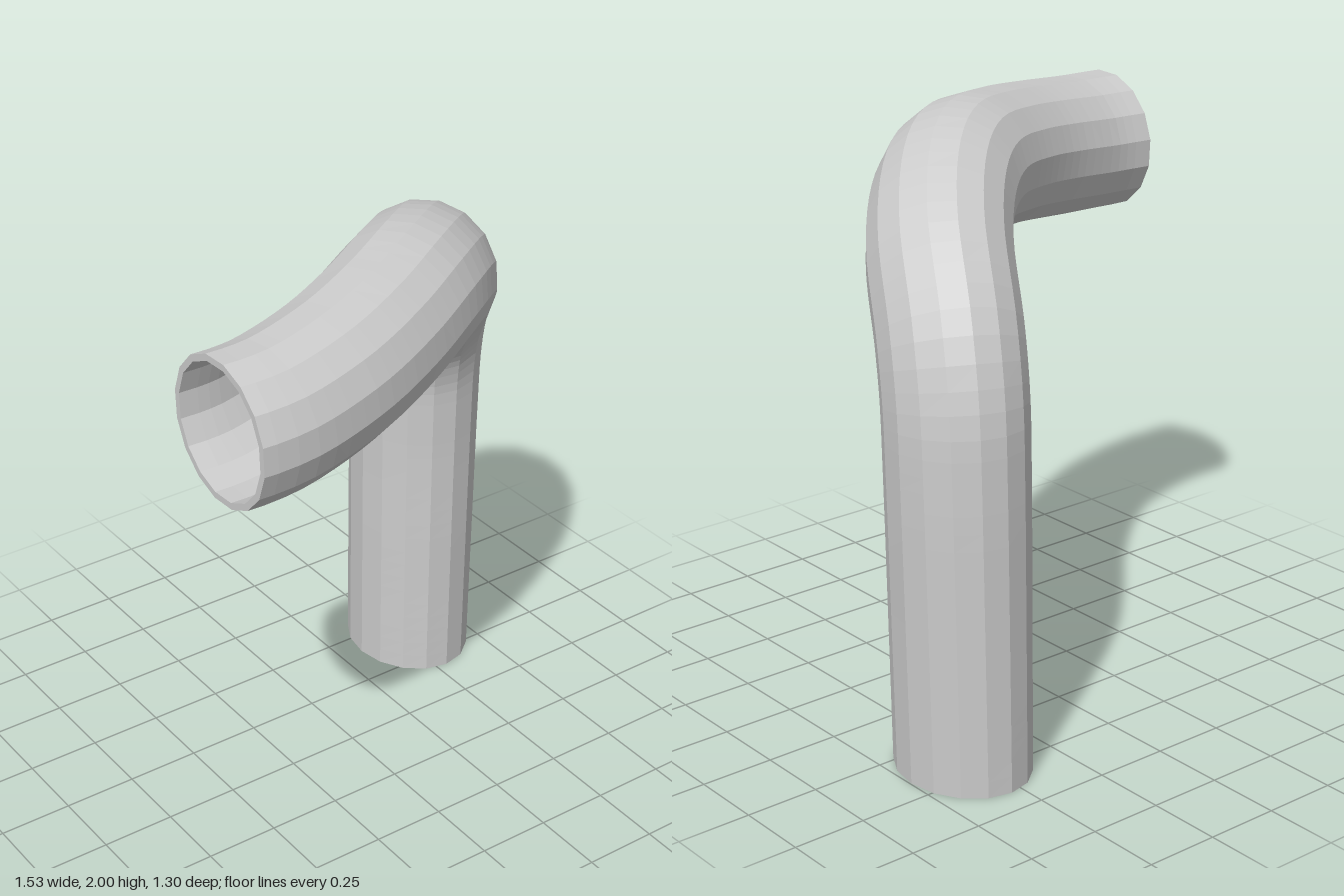
import * as THREE from 'three';

const SIDES = 16, RINGS = 56, WALL = 0.022;

// Centreline: upright leg, elbow, then a horizontal sweep
const path = new THREE.CatmullRomCurve3([
  [0.54, 0, -0.41], [0.547, 0.5, -0.41], [0.553, 1.0, -0.408],
  [0.548, 1.235, -0.393], [0.52, 1.41, -0.335], [0.425, 1.615, -0.168],
  [0.28, 1.725, -0.005], [0.12, 1.763, 0.125], [-0.1, 1.745, 0.25],
  [-0.335, 1.715, 0.345], [-0.575, 1.69, 0.4], [-0.68, 1.686, 0.408], [-0.76, 1.685, 0.405],
].map(p => new THREE.Vector3(...p)), false, 'centripetal');

// Section frames carried along the path without twist
function makeFrames() {
  const frames = [];
  let tangent = new THREE.Vector3(0, 1, 0);
  const n = new THREE.Vector3(1, 0, 0), b = new THREE.Vector3(0, 0, 1);
  for (let i = 0; i <= RINGS; i++) {
    const t = i / RINGS;
    const next = i === 0 ? tangent.clone()
      : i === RINGS ? new THREE.Vector3(-1, 0, 0) : path.getTangentAt(t);
    const q = new THREE.Quaternion().setFromUnitVectors(tangent, next);
    n.applyQuaternion(q);
    b.applyQuaternion(q);
    tangent = next;
    frames.push({ t, centre: path.getPointAt(t), n: n.clone(), b: b.clone() });
  }
  return frames;
}

// Outer skin one way, inner skin back, closed by a rim at each mouth
function pipeGeometry() {
  const frames = makeFrames();
  const loops = [
    ...frames.map(f => [f, 0]),
    ...frames.slice().reverse().map(f => [f, WALL]),
  ];
  const pos = [], index = [];
  for (const [f, inset] of loops) {
    // Oval at the foot, growing round towards the far mouth
    const rn = THREE.MathUtils.lerp(0.206, 0.238, f.t) - inset;
    const rb = THREE.MathUtils.lerp(0.246, 0.24, f.t) - inset;
    for (let j = 0; j < SIDES; j++) {
      const a = (j / SIDES) * Math.PI * 2;
      const p = f.centre.clone()
        .addScaledVector(f.n, rn * Math.cos(a))
        .addScaledVector(f.b, rb * Math.sin(a));
      pos.push(p.x, p.y, p.z);
    }
  }
  for (let i = 0; i < loops.length; i++) {
    const r0 = i * SIDES, r1 = ((i + 1) % loops.length) * SIDES;
    for (let j = 0; j < SIDES; j++) {
      const k = (j + 1) % SIDES;
      index.push(r0 + j, r1 + j, r0 + k, r0 + k, r1 + j, r1 + k);
    }
  }
  const indexed = new THREE.BufferGeometry();
  indexed.setAttribute('position', new THREE.Float32BufferAttribute(pos, 3));
  indexed.setIndex(index);
  const geometry = indexed.toNonIndexed();
  geometry.computeVertexNormals();
  return geometry;
}

export function createModel() {
  const group = new THREE.Group();
  group.name = 'bentPipe';
  const pipe = new THREE.Mesh(
    pipeGeometry(),
    new THREE.MeshStandardMaterial({ color: 0xcccccc, flatShading: true }),
  );
  pipe.name = 'pipe';
  group.add(pipe);
  return group;
}
